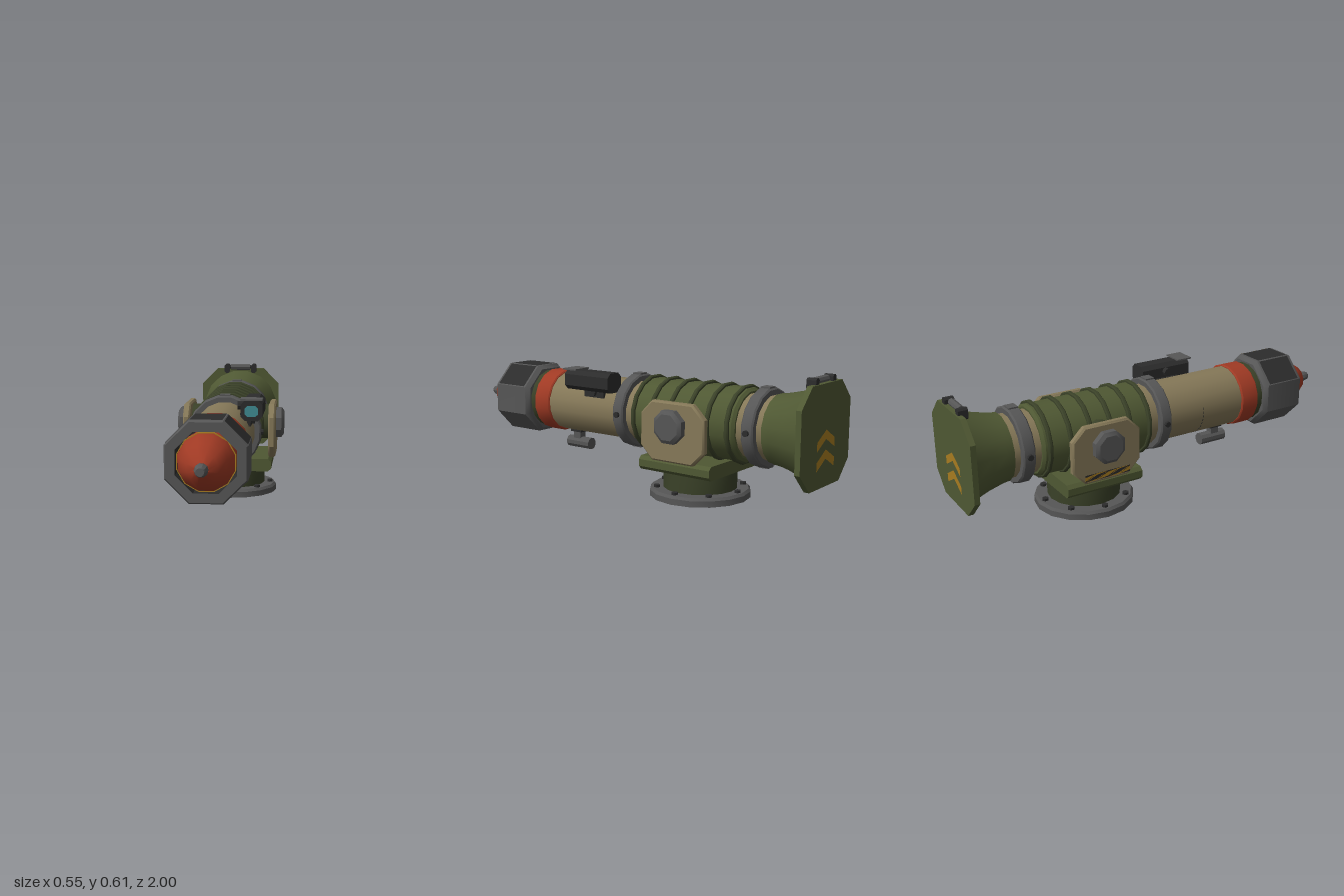
import * as THREE from 'three';
import { toCreasedNormals } from 'three/addons/utils/BufferGeometryUtils.js';

const C = { green: 0x4f5833, darkGreen: 0x3a4128, tan: 0x857858, grey: 0x565656, dark: 0x2c2c2c,
  red: 0xa03a24, lamp: 0xc83c24, yellow: 0xa87c20, teal: 0x3f8a90 };
const AXIS = 0.36, BASE_Z = -0.367;

export function createModel() {
  const root = new THREE.Group();
  const mats = {};
  const mat = (c) => (mats[c] ??= new THREE.MeshStandardMaterial({ color: C[c] }));

  function add(name, color, geo, x = 0, y = 0, z = 0, parent = root) {
    const m = new THREE.Mesh(toCreasedNormals(geo, 0.6), mat(color));
    m.name = name;
    m.position.set(x, y, z);
    parent.add(m);
    return m;
  }
  // Turned part along the barrel axis: profile of [radius, z], back to front
  function turned(name, color, profile, sides = 16) {
    const g = new THREE.LatheGeometry(profile.map(([r, z]) => new THREE.Vector2(r, z)), sides);
    g.rotateY(Math.PI / sides).rotateX(Math.PI / 2);
    return add(name, color, g, 0, AXIS, 0);
  }
  const band = (name, color, r, z0, z1, b = 0.006, sides = 16) =>
    turned(name, color, [[0, z0], [r - b, z0], [r, z0 + b], [r, z1 - b], [r - b, z1], [0, z1]], sides);
  // Rectangle with cut corners, extruded along z and centred
  function cutBlock(w, h, cut, depth, bevel = 0) {
    const a = w / 2 - bevel, b = h / 2 - bevel;
    const s = new THREE.Shape([[a - cut, -b], [a, -b + cut], [a, b - cut], [a - cut, b],
      [-a + cut, b], [-a, b - cut], [-a, -b + cut], [-a + cut, -b]].map((p) => new THREE.Vector2(...p)));
    return new THREE.ExtrudeGeometry(s, { depth: depth - 2 * bevel, bevelEnabled: bevel > 0,
      bevelSize: bevel, bevelThickness: bevel, bevelSegments: 1 }).translate(0, 0, bevel - depth / 2);
  }
  // Slanted yellow stripes on a dark panel, lying in local xy and facing +z
  function hazardPanel(w, h, count, slope) {
    const g = new THREE.Group();
    g.name = 'hazardPanel';
    add('panelBack', 'dark', new THREE.PlaneGeometry(w, h), 0, 0, 0, g);
    const span = h + Math.abs(slope) * w, step = span / count;
    const edge = (off) => [-0.5, -0.25, 0, 0.25, 0.5].map((u) =>
      new THREE.Vector2(u * w, THREE.MathUtils.clamp(off + slope * u * w, -h / 2, h / 2)));
    for (let i = 0; i < count; i++) {
      const lo = -span / 2 + (i + 0.25) * step;
      const pts = [...edge(lo), ...edge(lo + step * 0.5).reverse()];
      const clean = pts.filter((p, k) => p.distanceTo(pts[(k + 1) % pts.length]) > 1e-5);
      add('stripe', 'yellow', new THREE.ShapeGeometry(new THREE.Shape(clean)), 0, 0, 0.001, g);
    }
    root.add(g);
    return g;
  }

  // Warhead nose and tip
  turned('nose', 'red', [[0.121, 0.66], [0.121, 0.79], [0.112, 0.83], [0.093, 0.88], [0.064, 0.925], [0.028, 0.952], [0, 0.952]], 12);
  turned('noseTip', 'grey', [[0.028, 0.94], [0.028, 0.965], [0.021, 0.995], [0.017, 1], [0, 1]], 10);

  // Octagonal muzzle with a hollow bore
  turned('muzzle', 'grey', [[0.1, 0.58], [0.165, 0.58], [0.184, 0.6], [0.184, 0.8], [0.177, 0.81], [0.135, 0.81]], 8);
  turned('muzzleBore', 'dark', [[0.135, 0.81], [0.133, 0.69], [0, 0.69]], 8);
  turned('boreTrim', 'yellow', [[0.121, 0.785], [0.125, 0.785], [0.125, 0.795], [0.121, 0.795]], 12);
  for (const k of [-1, 0, 1]) {
    const a = k * Math.PI / 4, p = hazardPanel(0.132, 0.18, 4, 0.65);
    p.position.set(Math.sin(a) * 0.1715, AXIS + Math.cos(a) * 0.1715, 0.7);
    // Panel x runs around the muzzle, panel y runs toward the back
    p.rotation.set(-Math.PI / 2, 0, 0);
    p.rotation.order = 'ZYX';
    p.rotation.z = -a;
    p.children.forEach((c) => { if (c.name === 'stripe') c.rotation.y = 0; });
    p.scale.x = 1;
    p.children.slice(1).forEach((c) => { // slope toward the front as x grows
      c.geometry.rotateZ(Math.PI).rotateY(Math.PI);
    });
  }

  // Barrel sections
  band('muzzleCollar', 'darkGreen', 0.147, 0.545, 0.59);
  band('redBand', 'red', 0.156, 0.45, 0.55);
  band('barrel', 'tan', 0.147, -0.8, 0.455, 0);
  for (let i = 0; i < 14; i++) { // fine dashed seam below the barrel
    const g = new THREE.BoxGeometry(0.012, 0.002, 0.003).translate(0, -0.1465, 0);
    add('seamDash', 'dark', g.rotateZ(-1.7 + i * 0.14), 0, AXIS, 0.22);
  }

  // Ribbed body
  band('body', 'green', 0.168, -0.645, -0.085, 0.012);
  for (let i = 0; i < 6; i++) band('rib', 'darkGreen', 0.181, -0.113 - i * 0.102, -0.092 - i * 0.102, 0.005);

  // Clamp rings with side bolts and split lugs
  for (const z of [0.02, -0.685]) {
    band('clampRing', 'grey', 0.178, z - 0.06, z, 0.007);
    for (const s of [-1, 1]) {
      add('clampBolt', 'dark', new THREE.CylinderGeometry(0.014, 0.014, 0.02, 8).rotateZ(Math.PI / 2), s * 0.177, AXIS, z - 0.03);
      add('clampLug', 'grey', new THREE.BoxGeometry(0.05, 0.014, 0.046), 0, AXIS + s * 0.174, z - 0.03);
    }
  }

  // Flared tail, end plate, handle and chevrons
  turned('tailFlare', 'green', [[0, -0.975], [0.212, -0.975], [0.207, -0.965], [0.178, -0.88], [0.161, -0.81], [0.157, -0.775], [0, -0.775]]);
  add('endPlate', 'green', cutBlock(0.444, 0.444, 0.088, 0.025), 0, AXIS, -0.9855);
  for (const s of [-1, 1]) {
    add('handleBracket', 'dark', cutBlock(0.03, 0.052, 0.008, 0.045), s * 0.077, 0.583, -0.968);
  }
  add('handleBar', 'grey', new THREE.CylinderGeometry(0.017, 0.017, 0.11, 8).rotateZ(Math.PI / 2), 0, 0.592, -0.962);
  add('handleRod', 'dark', new THREE.CylinderGeometry(0.01, 0.01, 0.15, 8).rotateZ(Math.PI / 2), 0, 0.592, -0.962);
  for (const y of [0.345, 0.26]) {
    const s = new THREE.Shape([[-0.08, -0.045], [0, 0], [0.08, -0.045], [0.08, -0.005], [0, 0.04], [-0.08, -0.005]]
      .map((p) => new THREE.Vector2(...p)));
    add('chevron', 'yellow', new THREE.ShapeGeometry(s).rotateY(Math.PI), 0, y, -0.9993);
  }

  // Turntable base, bolts, pedestal and platform
  add('baseDisc', 'grey', new THREE.LatheGeometry([[0, 0], [0.237, 0], [0.237, 0.028], [0.227, 0.04], [0, 0.04]]
    .map((p) => new THREE.Vector2(...p)), 16), 0, 0, BASE_Z);
  for (let i = 0; i < 8; i++) {
    const a = i * Math.PI / 4;
    add('baseBolt', 'dark', new THREE.CylinderGeometry(0.016, 0.016, 0.014, 6), Math.sin(a) * 0.204, 0.044, BASE_Z + Math.cos(a) * 0.204);
  }
  add('pedestal', 'darkGreen', new THREE.CylinderGeometry(0.174, 0.174, 0.1, 16), 0, 0.085, BASE_Z);
  add('platform', 'green', cutBlock(0.436, 0.064, 0.016, 0.385), 0, 0.163, BASE_Z);

  // Cheek plates with trunnions
  for (const s of [-1, 1]) {
    add('cheekPlate', 'tan', cutBlock(0.345, 0.274, 0.058, 0.036, 0.008).rotateY(Math.PI / 2), s * 0.217, 0.327, BASE_Z);
    add('trunnionShaft', 'darkGreen', new THREE.CylinderGeometry(0.09, 0.09, 0.1, 12).rotateZ(Math.PI / 2), s * 0.16, AXIS, BASE_Z);
    const hub = new THREE.LatheGeometry([[0.08, 0], [0.08, 0.03], [0.062, 0.042], [0, 0.042]]
      .map((p) => new THREE.Vector2(...p)), 8).rotateY(Math.PI / 8).rotateZ(-s * Math.PI / 2);
    add('trunnionHub', 'grey', hub, s * 0.233, 0.357, BASE_Z);
  }
  const strip = hazardPanel(0.23, 0.032, 7, 1);
  strip.rotation.y = -Math.PI / 2;
  strip.position.set(-0.2358, 0.219, BASE_Z);

  // Sight with hood, lens and mount
  add('sightBody', 'dark', cutBlock(0.098, 0.094, 0.02, 0.27), 0.148, 0.503, 0.163);
  add('sightHood', 'grey', new THREE.BoxGeometry(0.1, 0.007, 0.08), 0.147, 0.553, 0.27);
  add('sightLens', 'teal', cutBlock(0.061, 0.05, 0.012, 0.006), 0.147, 0.5, 0.298);
  add('sightMount', 'dark', new THREE.BoxGeometry(0.05, 0.06, 0.12), 0.115, 0.45, 0.163);
  add('sightKnob', 'dark', new THREE.CylinderGeometry(0.022, 0.022, 0.03, 8).rotateZ(Math.PI / 2), 0.14, 0.447, 0.165);
  add('sightKnob', 'dark', new THREE.CylinderGeometry(0.02, 0.02, 0.03, 8).rotateZ(Math.PI / 2), 0.09, 0.51, 0.16);

  // Lamp hung below the barrel
  add('lampStrut', 'grey', new THREE.BoxGeometry(0.04, 0.06, 0.045), 0, 0.195, 0.383);
  add('lampFoot', 'dark', new THREE.BoxGeometry(0.058, 0.014, 0.07), 0, 0.212, 0.383);
  add('lampBody', 'grey', new THREE.CylinderGeometry(0.03, 0.03, 0.145, 10).rotateX(Math.PI / 2), 0, 0.149, 0.373);
  add('lampLens', 'lamp', new THREE.CylinderGeometry(0.024, 0.024, 0.006, 10).rotateX(Math.PI / 2), 0, 0.149, 0.446);
  return root;
}
